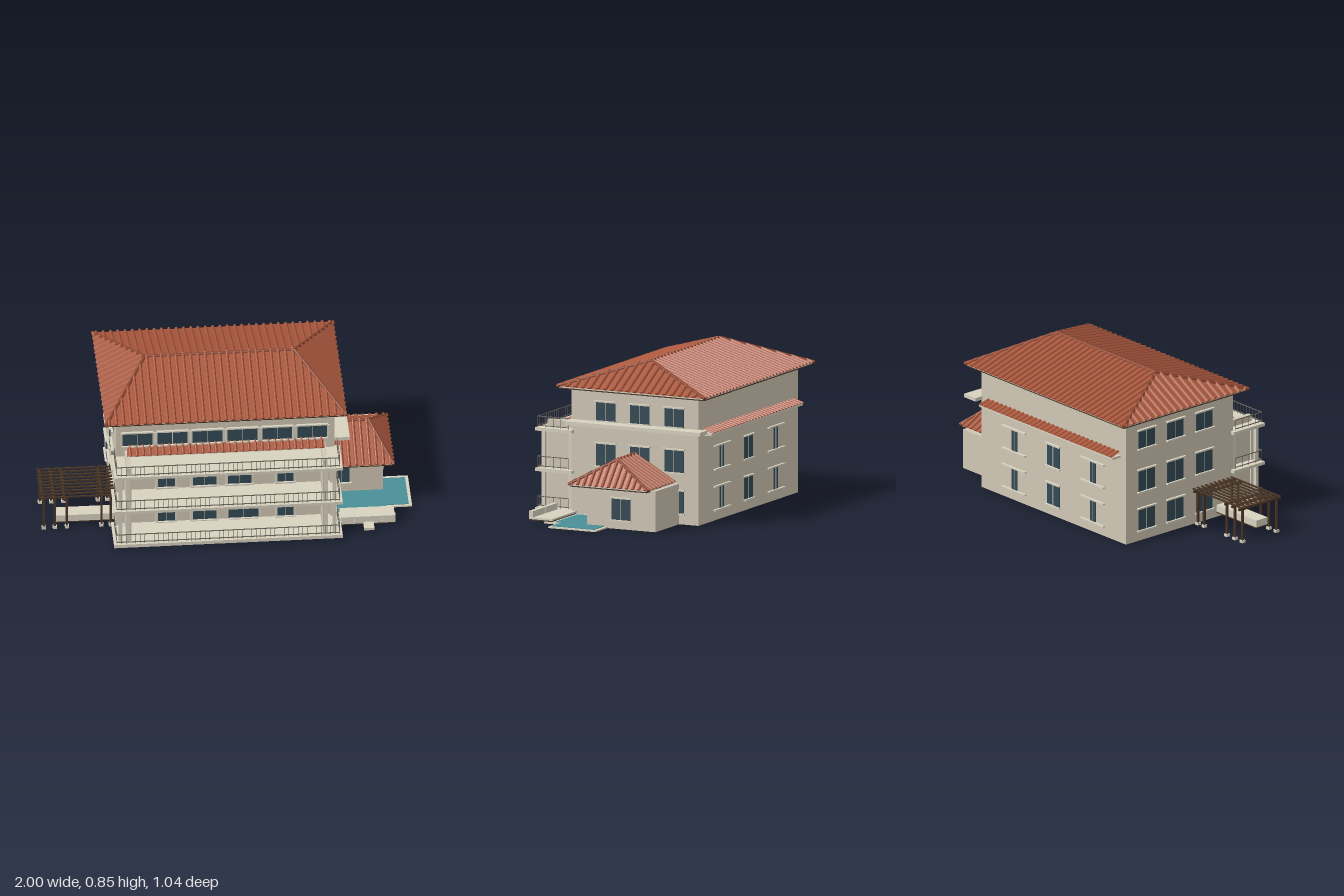
import * as THREE from 'three';

const mat = (color, side = THREE.FrontSide) => new THREE.MeshStandardMaterial({ color, side });

export function createModel() {
  const root = new THREE.Group();
  const wall = mat(0xd0c7b5), trim = mat(0xd8d2c0), glass = mat(0x344a55), wood = mat(0x4a3626);
  const tile = mat(0xa9573c, THREE.DoubleSide), cap = mat(0x8a4630), water = mat(0x4a8f98), iron = mat(0x6b665c);
  const V = (x, y, z) => new THREE.Vector3(x, y, z);

  // box given by its min and max corners
  function box(name, m, x0, x1, y0, y1, z0, z1, parent = root) {
    const b = new THREE.Mesh(new THREE.BoxGeometry(x1 - x0, y1 - y0, z1 - z0), m);
    b.position.set((x0 + x1) / 2, (y0 + y1) / 2, (z0 + z1) / 2);
    b.name = name;
    parent.add(b);
    return b;
  }

  function rod(name, m, a, b, r, sides = 6) {
    const g = new THREE.CylinderGeometry(r, r, a.distanceTo(b), sides);
    const c = new THREE.Mesh(g, m);
    c.position.copy(a).add(b).multiplyScalar(0.5);
    c.quaternion.setFromUnitVectors(V(0, 1, 0), b.clone().sub(a).normalize());
    c.name = name;
    root.add(c);
  }

  // ribbed tile slope: eave a to b, upper edge d to c, ribs run up the slope
  function tileSlope(name, a, b, c, d, pitch = 0.039, rise = 0.011) {
    const e = b.clone().sub(a), L = e.length();
    e.normalize();
    const inL = d.clone().sub(a).dot(e), inR = b.clone().sub(c).dot(e);
    const up = d.clone().sub(a).addScaledVector(e, -inL);
    const normal = e.clone().cross(up).normalize();
    const ribs = Math.round(L / pitch), n = ribs * 8, pos = [], idx = [];
    for (let i = 0; i <= n; i++) {
      const u = L * i / n;
      const t = Math.min(1, u / (inL || 1e-9), (L - u) / (inR || 1e-9));
      const h = rise * Math.sqrt(Math.max(0, -Math.cos(i / 4 * Math.PI)));
      const p = a.clone().addScaledVector(e, u), q = p.clone().addScaledVector(normal, h);
      pos.push(...p.toArray(), ...q.toArray(), ...q.clone().addScaledVector(up, t).toArray());
      for (let k = 0; k < 2 && i < n; k++) {
        const s = i * 3 + k;
        idx.push(s, s + 3, s + 4, s, s + 4, s + 1);
      }
    }
    let g = new THREE.BufferGeometry();
    g.setAttribute('position', new THREE.Float32BufferAttribute(pos, 3));
    g.setIndex(idx);
    g = g.toNonIndexed();
    g.computeVertexNormals();
    const m = new THREE.Mesh(g, tile);
    m.name = name;
    root.add(m);
  }

  // window facing +z before turning, with lintel and sill
  function windowUnit(x, y, z, w, h, turn = 0, ledge = w + 0.02, jambs = false) {
    const g = new THREE.Group();
    g.name = 'window';
    box('glass', glass, -w / 2, w / 2, 0, h, -0.01, 0.003, g);
    box('lintel', trim, -ledge / 2, ledge / 2, h, h + 0.008, -0.01, 0.014, g);
    box('sill', trim, -ledge / 2, ledge / 2, -0.008, 0, -0.01, 0.014, g);
    if (jambs) for (const s of [-1, 1]) {
      const c = s * (w / 2 + 0.006);
      box('jamb', trim, c - 0.006, c + 0.006, 0, h, -0.01, 0.01, g);
    }
    box('mullion', trim, -0.0015, 0.0015, 0, h, 0, 0.005, g);
    g.position.set(x, y, z);
    g.rotation.y = turn;
    root.add(g);
  }

  // main block
  const X0 = -0.595, X1 = 0.575, Z0 = -0.45, Z1 = 0.31;
  box('mainBlock', wall, X0, X1, 0, 0.69, Z0, Z1);

  // main hip roof
  box('soffit', wood, -0.645, 0.625, 0.688, 0.694, -0.51, 0.36);
  box('fascia', trim, -0.645, 0.625, 0.694, 0.703, -0.51, 0.36);
  const fl = V(-0.655, 0.702, 0.37), fr = V(0.635, 0.702, 0.37), br = V(0.635, 0.702, -0.52), bl = V(-0.655, 0.702, -0.52);
  const rl = V(-0.41, 0.838, -0.075), rr = V(0.39, 0.838, -0.075);
  tileSlope('roofFront', fl, fr, rr, rl);
  tileSlope('roofBack', br, bl, rl, rr);
  tileSlope('roofRight', fr, br, rr, rr, 0.044);
  tileSlope('roofLeft', bl, fl, rl, rl, 0.044);
  for (const [a, b] of [[fl, rl], [bl, rl], [fr, rr], [br, rr], [rl, rr]]) rod('ridgeCap', cap, a, b, 0.009, 8);
  for (const x of [-0.4, -0.01, 0.38]) box('eaveBracket', trim, x - 0.006, x + 0.006, 0.67, 0.69, 0.31, 0.34);

  // tiled canopies and side ledge
  tileSlope('frontCanopy', V(-0.54, 0.5, 0.372), V(0.52, 0.5, 0.372), V(0.52, 0.528, 0.31), V(-0.54, 0.528, 0.31), 0.035, 0.008);
  box('frontCanopySlab', trim, -0.54, 0.52, 0.488, 0.499, 0.31, 0.36);
  tileSlope('backCanopy', V(0.53, 0.497, -0.512), V(-0.55, 0.497, -0.512), V(-0.55, 0.515, -0.45), V(0.53, 0.515, -0.45), 0.035, 0.008);
  box('backCanopySlab', trim, -0.55, 0.53, 0.483, 0.496, -0.505, Z0);
  box('sideLedge', trim, X1 - 0.01, 0.657, 0.5, 0.52, -0.5, Z1);

  // front windows
  for (let i = 0; i < 6; i++) windowUnit(-0.012 + (i - 2.5) * 0.187, 0.53, Z1, 0.16, 0.08, 0, 0.17, true);
  for (const [x, w] of [[-0.325, 0.09], [-0.12, 0.125], [0.067, 0.125], [0.312, 0.085]]) {
    windowUnit(x, 0.255, Z1, w, 0.125, 0, w + 0.03, true);
    const door = x > 0 && x < 0.1;
    windowUnit(door ? 0.088 : x, 0.035, Z1, door ? 0.16 : w, 0.14, 0, w + 0.03, true);
  }

  // side windows on three floors
  for (const z of [0.105, -0.1, -0.305]) for (const [y, h] of [[0.06, 0.12], [0.28, 0.12], [0.525, 0.1]]) {
    windowUnit(X1, y, z, 0.115, h, Math.PI / 2, 0.13);
    windowUnit(X0, y, z, 0.115, h, -Math.PI / 2, 0.13);
  }

  // back windows: narrow outer ones with long ledges
  for (const y of [0.06, 0.28]) {
    windowUnit(-0.01, y, Z0, 0.1, 0.12, Math.PI, 0.115);
    for (const x of [-0.33, 0.305]) windowUnit(x, y, Z0, 0.045, 0.12, Math.PI, 0.19);
  }

  // terrace, balconies, side screens and columns
  box('terraceBase', trim, -0.6, 0.58, 0, 0.012, 0.3, 0.49);
  const BX0 = -0.62, BX1 = 0.603, BZ = 0.515;
  for (const [y0, y1] of [[0.01, 0.03], [0.226, 0.243], [0.445, 0.462]]) box('balconySlab', trim, BX0, BX1, y0, y1, 0.295, BZ);
  box('sideScreenRight', wall, -0.55, -0.525, 0.012, 0.498, 0.3, 0.48);
  box('sideScreenLeft', wall, 0.5, 0.525, 0.012, 0.498, 0.3, 0.48);
  for (const x of [-0.585, -0.545, 0.515, 0.56]) box('column', trim, x - 0.01, x + 0.01, 0.03, 0.445, 0.472, 0.492);
  for (const x of [-0.585, 0.56]) box('rearColumn', trim, x - 0.01, x + 0.01, 0.03, 0.445, 0.31, 0.33);

  // railings on each level
  for (const [y0, y1] of [[0.03, 0.09], [0.243, 0.307], [0.462, 0.524]]) {
    const a = BX0 + 0.015, b = BX1 - 0.015, z = BZ - 0.01;
    for (const y of [y1, y0 + 0.012]) {
      box('frontRail', iron, a, b, y - 0.004, y, z - 0.002, z + 0.002);
      for (const x of [a, b]) box('sideRail', iron, x - 0.002, x + 0.002, y - 0.004, y, 0.32, z);
    }
    for (let i = 0; i <= 48; i++) {
      const x = a + (b - a) * i / 48;
      box('baluster', iron, x - 0.001, x + 0.001, y0, y1, z - 0.001, z + 0.001);
    }
    for (const x of [a, b]) for (const bz of [0.32, 0.367, 0.414, 0.46])
      box('baluster', iron, x - 0.001, x + 0.001, y0, y1, bz - 0.001, bz + 0.001);
  }

  // annex with its own hip roof
  box('annex', wall, X1 - 0.01, 0.855, 0, 0.22, -0.335, 0.075);
  box('annexSoffit', wood, X1, 0.895, 0.215, 0.221, -0.305, 0.155);
  box('annexFascia', trim, X1, 0.895, 0.221, 0.229, -0.305, 0.155);
  const af = V(0.905, 0.228, 0.162), ab = V(0.905, 0.228, -0.315), ar = V(0.787, 0.363, -0.076);
  const wf = V(X1, 0.228, 0.162), wb = V(X1, 0.228, -0.315), wr = V(X1, 0.363, -0.076);
  tileSlope('annexRoofFront', wf, af, ar, wr, 0.036);
  tileSlope('annexRoofBack', ab, wb, wr, ar, 0.036);
  tileSlope('annexRoofEnd', af, ab, ar, ar, 0.036);
  for (const [a, b] of [[af, ar], [ab, ar], [wr, ar]]) rod('annexRidgeCap', cap, a, b, 0.008, 8);
  windowUnit(0.855, 0.05, -0.13, 0.11, 0.115, Math.PI / 2, 0.125);
  windowUnit(0.63, 0.07, 0.075, 0.09, 0.11);

  // pool with paved rim
  box('poolRim', trim, 0.57, 0.997, 0, 0.008, -0.05, 0.235);
  box('poolRimFront', trim, 0.57, 0.88, 0, 0.008, 0.235, 0.32);
  box('poolWater', water, 0.6, 0.98, 0.006, 0.011, -0.03, 0.222);
  box('poolWaterFront', water, 0.6, 0.86, 0.006, 0.011, 0.222, 0.262);

  // raised deck, its low wall and step
  box('deckFrame', wood, 0.61, 0.895, 0.014, 0.02, 0.265, 0.4);
  box('deck', trim, 0.605, 0.895, 0.02, 0.03, 0.262, 0.402);
  for (let i = 0; i < 4; i++) box('deckWallPanel', trim, 0.605 + i * 0.073, 0.676 + i * 0.073, 0.03, 0.064, 0.378, 0.402);
  box('deckStep', trim, 0.722, 0.777, 0.015, 0.03, 0.402, 0.462);

  // pergola: posts on footings, cross beams and slats
  for (const x of [-0.98, -0.92, -0.855, -0.67, -0.62]) for (const z of [0.04, 0.28]) {
    box('pergolaPost', wood, x - 0.006, x + 0.006, 0.01, 0.195, z - 0.006, z + 0.006);
    box('pergolaFooting', trim, x - 0.011, x + 0.011, 0, 0.015, z - 0.011, z + 0.011);
  }
  for (const x of [-0.985, -0.925, -0.87, -0.67, -0.62]) box('pergolaBeam', wood, x - 0.006, x + 0.006, 0.188, 0.2, 0.01, 0.305);
  for (let i = 0; i < 10; i++) {
    const z = 0.022 + i * 0.03;
    box('pergolaSlat', wood, -1, -0.6, 0.2, 0.208, z - 0.004, z + 0.004);
  }
  box('benchFrame', wood, -0.92, -0.6, 0.025, 0.031, 0.19, 0.27);
  box('bench', trim, -0.92, -0.6, 0.031, 0.07, 0.19, 0.27);
  return root;
}
